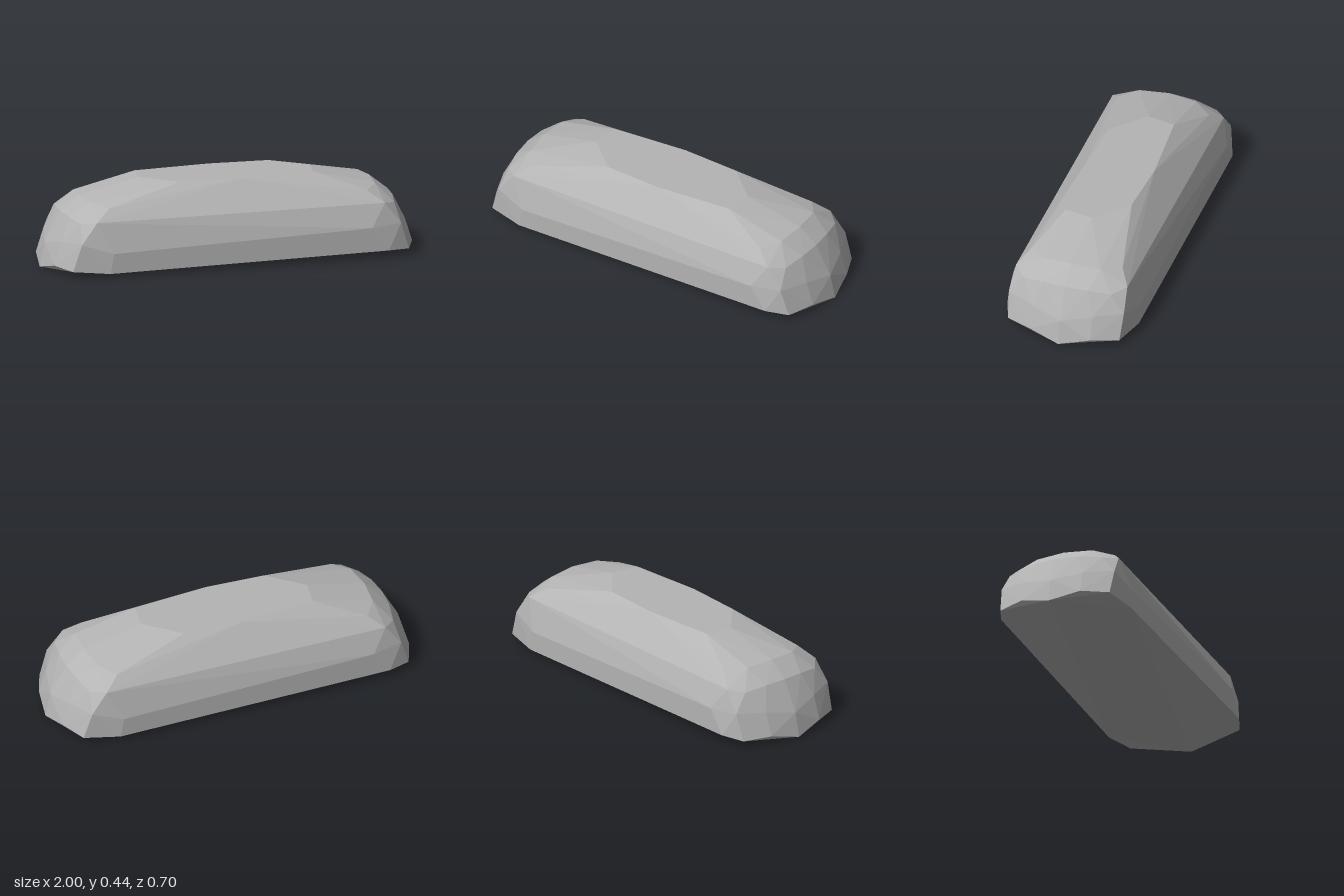
import * as THREE from 'three';
import { ConvexGeometry } from 'three/addons/geometries/ConvexGeometry.js';

export function createModel() {
  const group = new THREE.Group();
  group.name = 'facetedLoaf';
  const grey = new THREE.MeshStandardMaterial({ color: 0xb4b4b4, flatShading: true });
  grey.name = 'stoneGrey';

  // rounded end cap: x, y, z, mirrored to both sides and both ends
  const endCap = [
    [1, 0, 0], [0.97, 0.04, 0.165], [0.91, 0.033, 0.305],
    [0.972, 0.128, 0], [0.93, 0.163, 0.165], [0.865, 0.175, 0.315],
    [0.885, 0.288, 0], [0.876, 0.285, 0.12], [0.85, 0.27, 0.24], [0.78, 0.285, 0.305],
    [0.785, 0.367, 0], [0.77, 0.36, 0.155], [0.70, 0.345, 0.252],
  ];
  // slightly skewed long side and flat top, repeated by a half turn
  const longSide = [
    [-0.72, 0.02, 0.348], [-0.70, 0.125, 0.348],
    [0.79, 0.04, 0.348], [0.70, 0.165, 0.348],
    [-0.29, 0.44, 0.163], [0.03, 0.44, 0.18], [0.44, 0.44, 0.147], [0.465, 0.44, 0],
  ];

  const points = [];
  for (const [x, y, z] of endCap) {
    for (const sx of [1, -1]) {
      for (const sz of z ? [1, -1] : [1]) points.push(new THREE.Vector3(sx * x, y, sz * z));
    }
  }
  for (const [x, y, z] of longSide) {
    for (const s of [1, -1]) points.push(new THREE.Vector3(s * x, y, s * z));
  }

  const body = new THREE.Mesh(new ConvexGeometry(points), grey);
  body.name = 'body';
  group.add(body);
  return group;
}
